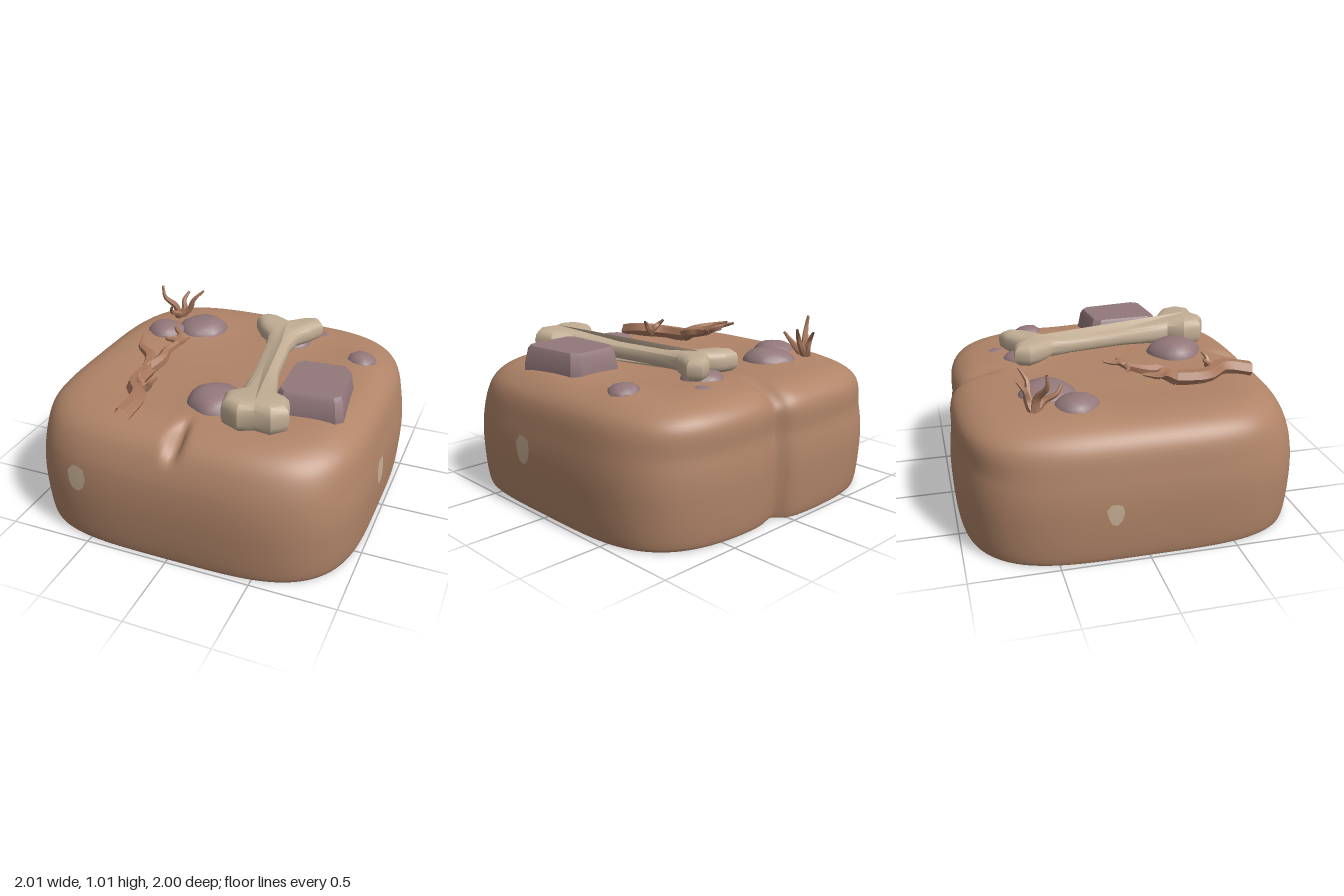
import * as THREE from 'three';
import { toCreasedNormals } from 'three/addons/utils/BufferGeometryUtils.js';
import { ConvexGeometry } from 'three/addons/geometries/ConvexGeometry.js';

const { smoothstep, lerp } = THREE.MathUtils;
const paint = (name, color, extra = {}) => new THREE.MeshStandardMaterial({ name, color, ...extra });
const V = (x, y, z) => new THREE.Vector3(x, y, z);
const bell = (d, width) => Math.exp(-((d / width) ** 2));

// Half buried stones: x, z, radius, height above the soil
const stones = [
  [.09, .46, .17, .11], [-.39, -.45, .165, .09], [-.6, -.32, .13, .08],
  [.71, -.38, .095, .06], [.38, -.64, .06, .03], [.22, -.48, .13, .07],
];
const slabCorners = [[.4, 0], [.76, -.03], [.82, .44], [.42, .47]];

// Wall and top profile as [scale of the plan, height], from the inner lip to the middle of the top
const profile = new THREE.CatmullRomCurve3([
  [.955, .03], [.972, .015], [1, .3], [.985, .5], [.935, .69], [.81, .77], [.4, .775], [.001, .775],
].map(([s, y]) => V(s, y, 0)));

// Rounded square plan, shallower on one side of the back crease
function plan(angle) {
  const c = Math.cos(angle), s = Math.sin(angle), n = 3.9;
  const r = (Math.abs(c) ** n + Math.abs(s) ** n) ** (-1 / n);
  const p = V(c * r, 0, s * r);
  if (s < 0) p.z *= 1 - .045 * smoothstep(p.x, 0, .15) * smoothstep(-p.z, 0, .9);
  if (s < -.5) p.z += .08 * Math.exp(-Math.abs(p.x - .07) / .07);
  return p;
}

function surface(angle, t, push = 1) {
  // the lip curls in further on one side
  const lip = 1 - .1 * Math.max(0, 1 - 7 * t) * Math.max(0, Math.cos(angle));
  const s = profile.getPoint(t), p = plan(angle).multiplyScalar(s.x * push * lip);
  p.y = s.y;
  // the top leans towards the back
  p.z -= .03 * smoothstep(p.y, .5, .72) * smoothstep(Math.abs(p.z), .5, .8);
  // soil pushed up around the stones
  const top = smoothstep(s.y, .72, .775);
  for (const [x, z, r] of [...stones, [.6, .22, .23]])
    p.y += top * .12 * r * bell(Math.hypot(p.x - x, p.z - z), r * 1.3);
  // notches cut into the front and back rims
  const high = smoothstep(p.y, .6, .75);
  const front = bell(p.x - .02, .035) * high * smoothstep(p.z, .65, .85);
  const back = bell(p.x - .06, .05) * high * smoothstep(-p.z, .6, .8);
  p.y -= .05 * front + .03 * back;
  p.z -= .05 * front;
  return p;
}

function soilGeometry(nu = 220, nt = 52) {
  const pos = [], idx = [];
  for (let j = 0; j <= nt; j++)
    for (let i = 0; i < nu; i++) pos.push(...surface(i / nu * Math.PI * 2, j / nt).toArray());
  for (let j = 0; j < nt; j++)
    for (let i = 0; i < nu; i++) {
      const a = j * nu + i, b = j * nu + (i + 1) % nu;
      idx.push(a, a + nu, b, b, a + nu, b + nu);
    }
  const g = new THREE.BufferGeometry();
  g.setAttribute('position', new THREE.Float32BufferAttribute(pos, 3));
  g.setIndex(idx);
  g.computeVertexNormals();
  return g;
}

// Move every vertex of a geometry by a rule
function reshape(g, rule) {
  const p = g.attributes.position, v = V(0, 0, 0);
  for (let i = 0; i < p.count; i++) {
    rule(v.fromBufferAttribute(p, i), i);
    p.setXYZ(i, v.x, v.y, v.z);
  }
  g.computeVertexNormals();
  return g;
}

// Thin oval patch wrapped on the wall
function spotGeometry(x, z, t, w, h, push) {
  const angle = Math.atan2(z, x);
  return reshape(new THREE.CircleGeometry(1, 9), v => {
    const k = 1 + .1 * Math.sin(v.x * 7 + v.y * 4);
    v.copy(surface(angle - v.x * w * k, t + v.y * h * k, push));
  });
}

// Smooth lump, flattened on top when large
function stoneGeometry(x, z, r, h) {
  const g = reshape(new THREE.IcosahedronGeometry(1, r > .1 ? 3 : 1), v => {
    v.multiplyScalar(1 + .06 * Math.sin(v.x * 4 + x * 9) * Math.cos(v.z * 3 + z * 7));
    v.set(x + v.x * r, .77 + v.y * h, z + v.z * r);
  });
  return toCreasedNormals(g, .8);
}

// Four sided slab with cut corners and a narrower top
function slabGeometry() {
  const points = [];
  slabCorners.forEach(([x, z], i) => {
    const [nx, nz] = slabCorners[(i + 1) % 4];
    for (const k of [.1, .9]) {
      const p = V(lerp(x, nx, k), .8, lerp(z, nz, k));
      const shoulder = p.clone().lerp(V(.6, .8, .2), .08).setY(.895);
      const cap = p.clone().lerp(V(.6, .8, .2), .15).setY(.92);
      points.push(p, p.clone().setY(.7), shoulder, cap);
    }
  });
  return toCreasedNormals(new ConvexGeometry(points), .5);
}

// Mirrored bone outline, bevelled, then bowed and thickened at both heads
function boneGeometry() {
  const half = [[.08, -.57], [.17, -.59], [.215, -.51], [.16, -.41], [.095, -.33], [.075, -.2], [.072, .15],
    [.1, .45], [.18, .53], [.185, .65], [.09, .715]];
  const points = [[0, -.51], ...half, [0, .69], ...half.map(([x, z]) => [-x, z]).reverse()];
  const g = new THREE.ExtrudeGeometry(new THREE.Shape(points.map(([x, z]) => new THREE.Vector2(x, -z))), {
    depth: .6, bevelThickness: .7, bevelSize: .055, bevelOffset: -.055, bevelSegments: 3,
  });
  g.rotateX(-Math.PI / 2);
  reshape(g, v => {
    const f = smoothstep(v.z, .3, .58), b = smoothstep(-v.z, .25, .48);
    v.y = .855 + .005 * f + .01 * b + (v.y - .3) * (.05 + .04 * f + .015 * b);
    const skew = .15 * v.x;
    v.x += .25 + .16 * v.z + .09 * v.z * v.z;
    v.z -= skew;
  });
  return toCreasedNormals(g, .6);
}

// Crooked root tapering from base to tip
function rootGeometry(base, tip, r0, r1) {
  const n = 10, sides = 6, a = V(...base), b = V(...tip), bow = a.distanceTo(b) * .08;
  const curve = new THREE.CatmullRomCurve3([
    a, a.clone().lerp(b, .35).add(V(bow, bow / 2, 0)), a.clone().lerp(b, .7).add(V(-bow / 2, 0, bow)), b,
  ]);
  const g = reshape(new THREE.TubeGeometry(curve, n, r0, sides), (v, i) => {
    const k = Math.floor(i / (sides + 1)) / n, c = curve.getPointAt(k);
    v.sub(c).multiplyScalar(lerp(1, r1 / r0, k)).add(c);
  });
  return toCreasedNormals(g, .7);
}

export function createModel() {
  const model = new THREE.Group();
  const soil = paint('soil brown', 0xb08468, { side: THREE.DoubleSide });
  const stone = paint('stone mauve', 0x93787b);
  const bone = paint('bone cream', 0xc2ad94);
  const pebble = paint('pebble cream', 0xc4ad92, { side: THREE.DoubleSide });
  const root = paint('root brown', 0xa8785d, { side: THREE.DoubleSide });
  const add = (name, geometry, material) => {
    const m = new THREE.Mesh(geometry, material);
    m.name = name;
    model.add(m);
  };

  add('soilBlock', soilGeometry(), soil);
  add('bone', boneGeometry(), bone);
  for (const s of stones) add('stone', stoneGeometry(...s), stone);
  add('slabStone', slabGeometry(), stone);

  // Pebbles showing on both faces of the walls, and one on top
  for (const spot of [[-.55, .96, .375, .053, .062], [.99, .18, .342, .06, .064], [-.99, -.2, .3, .045, .042]])
    for (const push of [1.004, .996]) add('wallPebble', spotGeometry(...spot, push), pebble);
  add('topPebble', stoneGeometry(.41, .14, .05, .04), pebble);

  // Roots growing from shared joints: base, start radius, tips
  const fork = [-.42, .82, .3], knot = [-.34, .81, .55], twig = [-.35, .89, .03];
  const roots = [
    [[-.33, .79, .8], .052, [fork]],
    [fork, .045, [[-.57, .92, .06], twig]],
    [knot, .028, [[-.25, .9, .52], [-.38, .9, .48]]],
    [twig, .022, [[-.42, .96, -.13], [-.29, .92, -.02], [-.45, .9, 0]]],
    [[-.63, .77, -.56], .03, [[-.71, 1.02, -.5], [-.46, .98, -.61], [-.58, .95, -.64], [-.6, .92, -.4]]],
  ];
  for (const [base, r, tips] of roots)
    for (const tip of tips) add('root', rootGeometry(base, tip, r, tip === fork ? .045 : tip === twig ? .022 : .008), root);

  return model;
}
